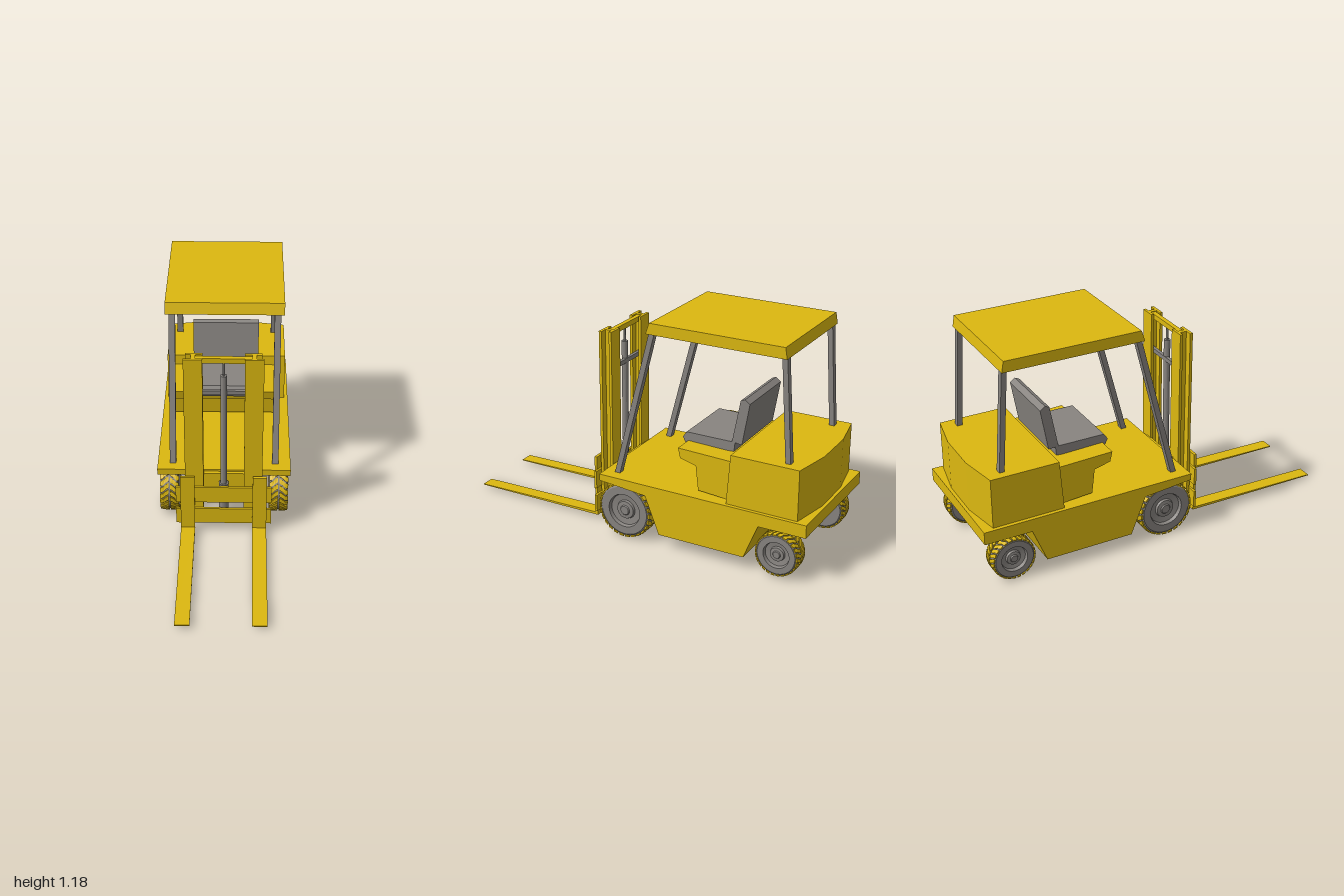
import * as THREE from 'three';
import { mergeGeometries } from 'three/addons/utils/BufferGeometryUtils.js';

const yellow = new THREE.MeshStandardMaterial({ color: 0xdcb810, flatShading: true });
const grey = new THREE.MeshStandardMaterial({ color: 0x888480, flatShading: true });

const shapeOf = (pts) => new THREE.Shape(pts.map(([a, b]) => new THREE.Vector2(a, b)));

// Side profile of [z, y] points, extruded across x around centre cx
function side(pts, width, cx = 0) {
  const g = new THREE.ExtrudeGeometry(shapeOf(pts), { depth: width, bevelEnabled: false });
  return g.translate(0, 0, -width / 2).rotateY(-Math.PI / 2).translate(cx, 0, 0);
}

// Plan outline of [x, z] points, extruded upwards from y0 to y1
function plan(pts, y0, y1) {
  const g = new THREE.ExtrudeGeometry(shapeOf(pts.map(([x, z]) => [x, -z])), { depth: y1 - y0, bevelEnabled: false });
  return g.rotateX(-Math.PI / 2).translate(0, y0, 0);
}

// Box given by its limits on each axis
function box(x0, x1, y0, y1, z0, z1) {
  return new THREE.BoxGeometry(x1 - x0, y1 - y0, z1 - z0)
    .translate((x0 + x1) / 2, (y0 + y1) / 2, (z0 + z1) / 2);
}

function rod(r, y0, y1, z) {
  return new THREE.CylinderGeometry(r, r, y1 - y0, 16).translate(0, (y0 + y1) / 2, z);
}

// One curved tread block; row is the side of the tread, skew bends it into a chevron
function lug(R, w, row, base, pitch, dir) {
  const len = w * 0.46, mid = row * w * 0.27;
  const g = new THREE.BoxGeometry(1, 1, 1, 3, 1, 1);
  const p = g.attributes.position;
  for (let i = 0; i < p.count; i++) {
    const x = mid + p.getX(i) * len;
    const t = Math.min(1, Math.max(0, (Math.abs(x) / w - 0.1) / 0.3));
    const edge = Math.abs(x) > w * 0.45 ? R * 0.03 : 0;
    const r = p.getY(i) > 0 ? R - edge : R * 0.92;
    const a = base + p.getZ(i) * pitch * 0.72 + dir * (t - 0.5) * pitch * 0.8;
    p.setXYZ(i, x, r * Math.cos(a), r * Math.sin(a));
  }
  return g;
}

function wheel(name, R, w, s, y, z) {
  const group = new THREE.Group();
  group.name = name;
  // Tyre, dished rim and hub as one turned profile, outer face towards +x
  const profile = [
    [0, -0.48], [0.86, -0.48], [0.95, -0.4], [0.95, 0.4], [0.87, 0.48], [0.6, 0.48], [0.56, 0.3],
    [0.34, 0.26], [0.31, 0.38], [0.18, 0.4], [0.15, 0.46], [0, 0.46],
  ].map(([r, x]) => new THREE.Vector2(r * R, x * w));
  const tyre = new THREE.Mesh(new THREE.LatheGeometry(profile, 40).rotateZ(-Math.PI / 2), grey);
  tyre.name = 'tyreAndHub';
  const count = 26, pitch = (Math.PI * 2) / count, lugs = [];
  for (let i = 0; i < count; i++) {
    for (const row of [-1, 1]) lugs.push(lug(R, w, row, (i + row * 0.1) * pitch, pitch, s));
  }
  const tread = new THREE.Mesh(mergeGeometries(lugs), yellow);
  tread.name = 'tread';
  group.add(tyre, tread);
  group.position.set(s * 0.29, y, z);
  if (s < 0) group.rotation.y = Math.PI;
  return group;
}

export function createModel() {
  const model = new THREE.Group();
  model.name = 'forklift';
  const add = (name, geometry, material = yellow, parent = model) => {
    const m = new THREE.Mesh(geometry, material);
    m.name = name;
    parent.add(m);
  };

  // Chassis with cut-outs for the wheels
  add('chassis', side([
    [0.15, 0.335], [0.15, 0.3], [-0.12, 0.275], [-0.2, 0.075], [-0.675, 0.075],
    [-0.75, 0.262], [-1, 0.262], [-1, 0.33],
  ], 0.7));

  // Counterweight: bowed back, front face leaning back
  const weight = plan([
    [-0.33, -0.565], [0.33, -0.565], [0.33, -0.945], [0.12, -0.983], [-0.12, -0.983], [-0.33, -0.945],
  ], 0.33, 0.595);
  const wp = weight.attributes.position;
  for (let i = 0; i < wp.count; i++) {
    if (wp.getZ(i) > -0.6 && wp.getY(i) > 0.5) wp.setZ(i, -0.585);
  }
  weight.computeVertexNormals();
  add('counterweight', weight);

  // Seat
  add('seatBase', side([
    [-0.275, 0.55], [-0.287, 0.497], [-0.375, 0.475], [-0.39, 0.345], [-0.56, 0.333], [-0.59, 0.54],
  ], 0.575));
  add('seatCushion', side([
    [-0.265, 0.595], [-0.245, 0.565], [-0.262, 0.53], [-0.53, 0.545], [-0.535, 0.595],
  ], 0.36), grey);
  add('seatBack', side([
    [-0.518, 0.595], [-0.56, 0.82], [-0.583, 0.83], [-0.61, 0.81], [-0.572, 0.588],
  ], 0.36), grey);

  // Overhead guard
  add('roof', side([[-0.1, 1.12], [-0.12, 1.178], [-0.838, 1.178], [-0.848, 1.12]], 0.61));
  for (const s of [1, -1]) {
    const label = s > 0 ? 'left' : 'right';
    add(label + 'FrontPillar', side([[0.095, 0.33], [0.065, 0.33], [-0.14, 1.125], [-0.11, 1.125]], 0.033, s * 0.27), grey);
    add(label + 'RearPillar', side([[-0.853, 0.59], [-0.88, 0.59], [-0.842, 1.125], [-0.815, 1.125]], 0.033, s * 0.27), grey);
  }

  // Mast: two I-section rails joined by crossbars
  const mast = new THREE.Group();
  mast.name = 'mast';
  model.add(mast);
  for (const s of [1, -1]) {
    const section = [
      [0.105, 0.165], [0.19, 0.165], [0.19, 0.18], [0.163, 0.18], [0.163, 0.216], [0.2, 0.216],
      [0.2, 0.232], [0.105, 0.232], [0.105, 0.216], [0.14, 0.216], [0.14, 0.18], [0.105, 0.18],
    ].map(([x, z]) => [s * x, z]);
    add(s > 0 ? 'leftRail' : 'rightRail', plan(section, 0.06, 1.05), yellow, mast);
  }
  add('topCrossbar', box(-0.142, 0.142, 1.018, 1.046, 0.185, 0.21), yellow, mast);
  add('middleCrossbar', box(-0.142, 0.142, 0.83, 0.853, 0.182, 0.2), grey, mast);
  add('mastMount', box(-0.14, 0.14, 0.22, 0.325, 0.12, 0.17), yellow, mast);

  // Lifting cylinder
  add('cylinderBase', rod(0.026, 0.07, 0.29, 0.2), grey, mast);
  add('cylinderBody', rod(0.017, 0.29, 0.945, 0.2), grey, mast);
  add('cylinderRod', rod(0.006, 0.945, 1.02, 0.2), grey, mast);

  // Fork carriage and forks
  const carriage = new THREE.Group();
  carriage.name = 'forkCarriage';
  model.add(carriage);
  add('lowerPlate', box(-0.25, 0.25, 0.057, 0.15, 0.231, 0.244), yellow, carriage);
  add('upperPlate', box(-0.25, 0.25, 0.192, 0.288, 0.231, 0.244), yellow, carriage);
  for (const s of [1, -1]) {
    add(s > 0 ? 'leftFork' : 'rightFork', side([
      [0.242, 0.36], [0.242, 0.022], [1, 0.022], [1, 0.027], [0.257, 0.036], [0.257, 0.36],
    ], 0.074, s * 0.188), yellow, carriage);
  }

  // Wheels
  for (const s of [1, -1]) {
    const label = s > 0 ? 'left' : 'right';
    model.add(wheel(label + 'FrontWheel', 0.152, 0.1, s, 0.154, 0.01));
    model.add(wheel(label + 'RearWheel', 0.115, 0.1, s, 0.125, -0.845));
  }
  return model;
}
